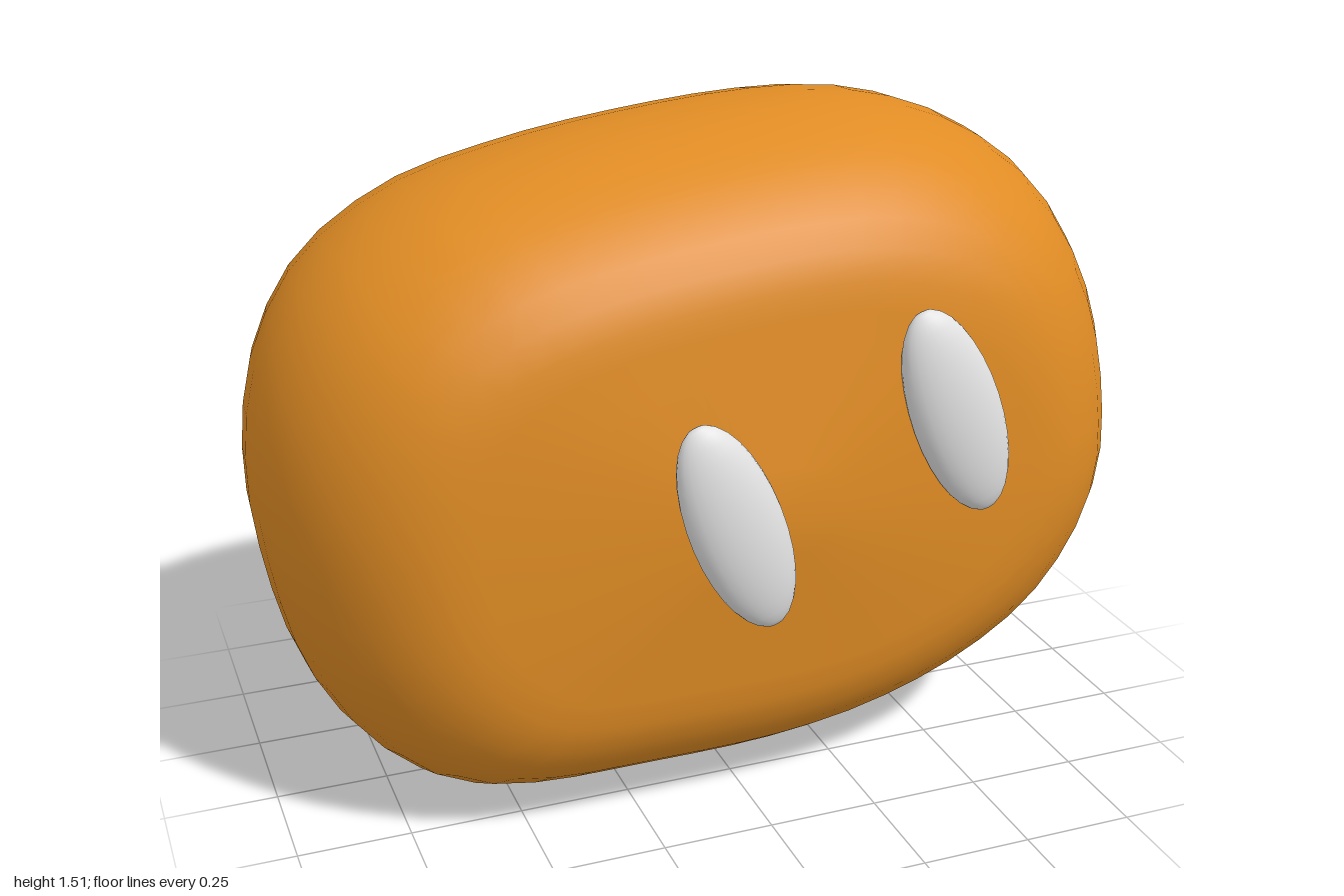
import * as THREE from 'three';

const orange = new THREE.MeshStandardMaterial({ color: 0xe08c24 });
orange.name = 'orange skin';
const white = new THREE.MeshStandardMaterial({ color: 0xe2e2e2 });
white.name = 'pale eye';

// Lopsided pebble outline, counterclockwise from the front
const OUTLINE = [
  [1, 0.68], [0.97, 0.95], [0.9, 1.15], [0.78, 1.32], [0.6, 1.44], [0.4, 1.5], [0.2, 1.51],
  [-0.1, 1.485], [-0.4, 1.435], [-0.65, 1.36], [-0.85, 1.22], [-0.96, 1.03], [-1, 0.8],
  [-0.98, 0.57], [-0.92, 0.34], [-0.82, 0.17], [-0.68, 0.05], [-0.53, 0.01], [-0.25, 0.003],
  [0.1, 0.01], [0.35, 0.05], [0.6, 0.14], [0.8, 0.27], [0.92, 0.42], [0.98, 0.56],
];
const CY = 0.745;
const CZ = -0.035;
const SEG = 56;

function bodyGeometry() {
  const curve = new THREE.CatmullRomCurve3(
    OUTLINE.map(([x, y]) => new THREE.Vector3(x, y, 0)), true);
  const loop = curve.getSpacedPoints(SEG).slice(0, SEG);

  // Half profile, from the middle of the front face to the widest ring: [scale x, scale y, depth]
  const half = [];
  for (const f of [0.25, 0.5, 0.75]) half.push([0.62 * f, 0.54 * f, 0.545 - 0.055 * f]);
  const steps = 9;
  for (let i = 0; i <= steps; i++) {
    const t = (Math.PI / 2) * (1 - i / steps);
    const inset = 1 - Math.cos(t);
    half.push([1 - 0.38 * inset, 1 - 0.46 * inset, 0.49 * Math.sin(t)]);
  }
  const back = half.slice(0, -1).reverse().map(([a, b, z]) => [a, b, -z]);
  const rings = [...half, ...back];

  const pos = [0, CY, CZ + 0.545];
  for (const [sx, sy, z] of rings)
    for (const p of loop) pos.push(p.x * sx, CY + (p.y - CY) * sy, CZ + z);
  pos.push(0, CY, CZ - 0.545);

  const index = [];
  const at = (r, j) => 1 + r * SEG + (j % SEG);
  const end = 1 + rings.length * SEG;
  for (let j = 0; j < SEG; j++) {
    index.push(0, at(0, j), at(0, j + 1));
    for (let r = 0; r < rings.length - 1; r++) {
      const a = at(r, j), b = at(r, j + 1), c = at(r + 1, j), d = at(r + 1, j + 1);
      index.push(a, c, b, b, c, d);
    }
    index.push(end, at(rings.length - 1, j + 1), at(rings.length - 1, j));
  }
  const g = new THREE.BufferGeometry();
  g.setAttribute('position', new THREE.Float32BufferAttribute(pos, 3));
  g.setIndex(index);
  g.computeVertexNormals();
  return g;
}

export function createModel() {
  const model = new THREE.Group();
  model.name = 'pebbleCreature';

  const body = new THREE.Mesh(bodyGeometry(), orange);
  body.name = 'body';
  model.add(body);

  // Slanted oval eyes on the front face
  const eyeShape = new THREE.SphereGeometry(1, 24, 16);
  for (const [name, x, y, z] of [['rightEye', -0.1, 0.75, 0.528], ['leftEye', 0.415, 0.917, 0.482]]) {
    const eye = new THREE.Mesh(eyeShape, white);
    eye.name = name;
    eye.scale.set(0.102, 0.25, 0.055);
    eye.position.set(x, y, z);
    eye.rotation.z = 0.37;
    model.add(eye);
  }
  return model;
}
